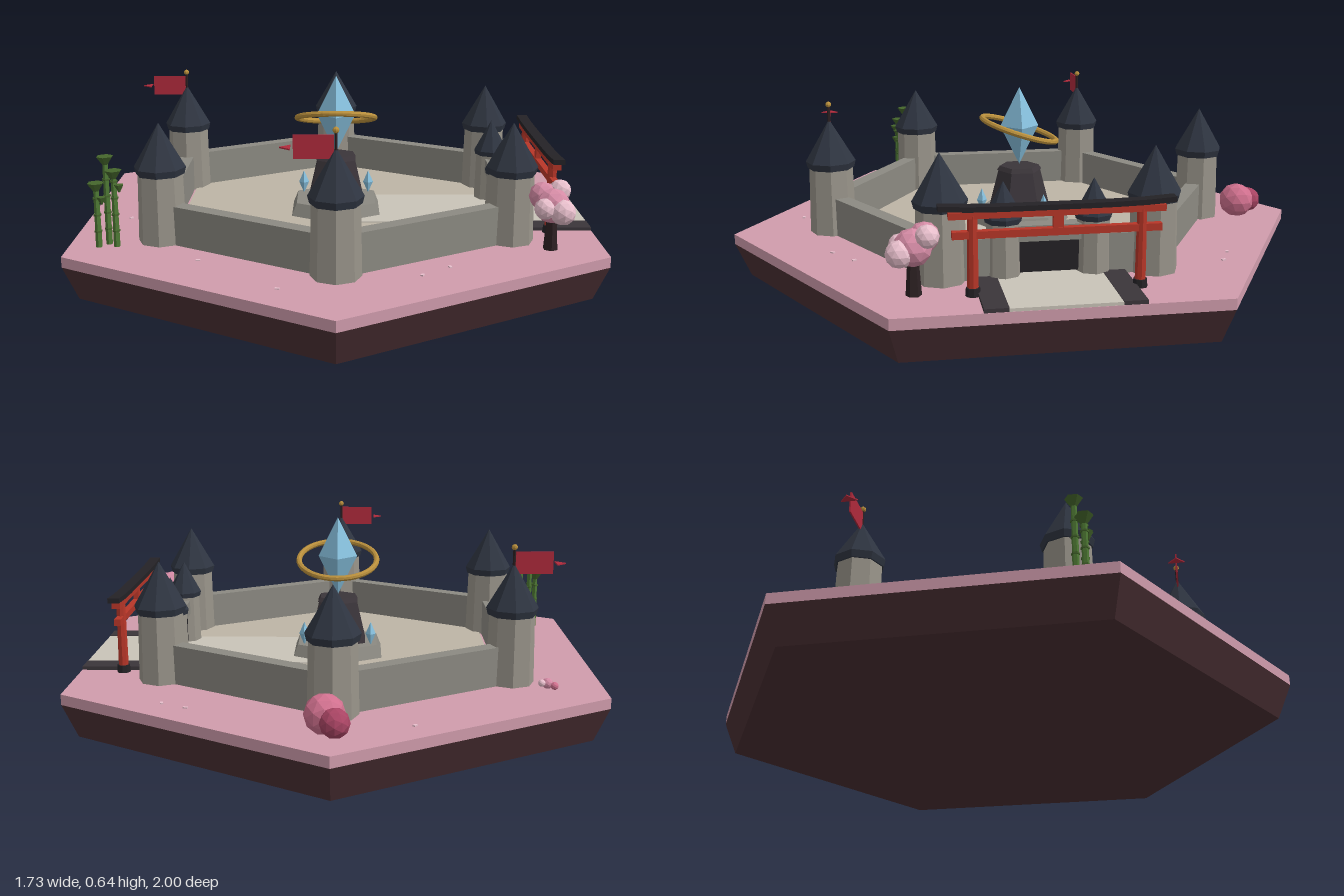
import * as THREE from 'three';

const mat = (color) => new THREE.MeshStandardMaterial({ color, flatShading: true, side: THREE.DoubleSide });
const M = {
  grass: mat(0xd09cac), earth: mat(0x4a2f33), court: mat(0xbdb4a5), path: mat(0xc9c3b8),
  tower: mat(0x99948a), wall: mat(0x8c8a82), roof: mat(0x2f3541), dark: mat(0x3b353a), black: mat(0x242226),
  crystal: mat(0x86bfdc), gold: mat(0xb98f3c), flag: mat(0xb02a3c), red: mat(0xb83628),
  bark: mat(0x2c2022), blossom: mat(0xd58ba5), pale: mat(0xe8bfcc), bush: mat(0xd0708e), bushDark: mat(0xa84463),
  stalk: mat(0x4f7a35), leaf: mat(0x45662c),
};
const GROUND = 0.15;

function add(parent, name, geometry, material, x = 0, y = 0, z = 0) {
  const mesh = new THREE.Mesh(geometry, material);
  mesh.name = name;
  mesh.position.set(x, y, z);
  parent.add(mesh);
  return mesh;
}
function group(parent, name, x = 0, y = 0, z = 0) {
  const g = new THREE.Group();
  g.name = name;
  g.position.set(x, y, z);
  parent.add(g);
  return g;
}
const box = (w, h, d) => new THREE.BoxGeometry(w, h, d);
// Frustum standing on y0
const frustum = (rTop, rBottom, y0, y1, sides) =>
  new THREE.CylinderGeometry(rTop, rBottom, y1 - y0, sides).translate(0, (y0 + y1) / 2, 0);
const ball = (r) => new THREE.IcosahedronGeometry(r, 1);

function tower(parent, name, x, z, r, bodyTop, eave, tip) {
  const t = group(parent, name, x, 0, z);
  add(t, 'towerBody', frustum(r * 0.87, r * 0.93, GROUND, bodyTop, 8), M.tower);
  add(t, 'towerCollar', frustum(r, r * 0.93, bodyTop, eave, 8), M.roof);
  add(t, 'towerRoof', frustum(0, r, eave, tip, 8), M.roof);
  return t;
}

function wall(parent, name, a, b) {
  const length = Math.hypot(b[0] - a[0], b[1] - a[1]);
  const w = add(parent, name, box(length, 0.13, 0.05), M.wall, (a[0] + b[0]) / 2, GROUND + 0.065, (a[1] + b[1]) / 2);
  w.rotation.y = -Math.atan2(b[1] - a[1], b[0] - a[0]);
}

function banner(t) {
  add(t, 'flagPole', frustum(0.005, 0.005, 0.53, 0.595, 6), M.bark);
  add(t, 'poleKnob', new THREE.SphereGeometry(0.01, 8, 6), M.gold, 0, 0.597, 0);
  add(t, 'flagCloth', box(0.12, 0.072, 0.005), M.flag, -0.065, 0.547, 0);
  // Small flat pennant tip
  const tip = new THREE.Shape([[-0.165, 0], [-0.133, -0.028], [-0.133, 0.028]].map((p) => new THREE.Vector2(...p)));
  const pennant = add(t, 'flagTip', new THREE.ExtrudeGeometry(tip, { depth: 0.004, bevelEnabled: false }), M.flag, 0, 0.547, 0);
  pennant.rotation.x = Math.PI / 2;
}

function blobs(parent, list) {
  for (const [name, material, r, x, y, z] of list) add(parent, name, ball(r), material, x, y, z);
}

export function createModel() {
  const model = new THREE.Group();
  model.name = 'hexagonalFortress';

  // Hexagonal island with courtyard
  add(model, 'islandBase', frustum(1, 0.95, 0, 0.115, 6), M.earth);
  add(model, 'islandTop', frustum(1, 1, 0.115, GROUND, 6), M.grass);
  add(model, 'courtyard', frustum(0.622, 0.622, GROUND, 0.156, 6), M.court);

  // Path through the gate, with dark kerbs outside
  add(model, 'innerPath', box(0.55, 0.006, 0.33), M.path, 0.32, 0.157, 0);
  add(model, 'outerPath', box(0.27, 0.01, 0.33), M.path, 0.73, 0.155, 0);
  for (const s of [-1, 1]) add(model, 'pathKerb', box(0.268, 0.012, 0.072), M.dark, 0.731, 0.156, s * 0.2);

  // Six corner towers joined by walls
  const corners = [];
  for (let i = 0; i < 6; i++) {
    const a = (i * Math.PI) / 3;
    corners.push([0.66 * Math.sin(a), 0.66 * Math.cos(a)]);
  }
  corners.forEach(([x, z], i) => {
    const t = tower(model, 'cornerTower', x, z, 0.085, 0.377, 0.4, 0.546);
    if (i === 0 || i === 4) banner(t);
    if (i !== 1) wall(model, 'curtainWall', [x, z], corners[(i + 1) % 6]);
  });

  // Gatehouse on the +x side
  const gx = corners[1][0];
  for (const s of [-1, 1]) {
    wall(model, 'gateWall', [gx, s * 0.33], [gx, s * 0.14]);
    tower(model, 'gateTower', gx, s * 0.14, 0.06, 0.325, 0.342, 0.452);
  }
  add(model, 'gateLintel', box(0.05, 0.05, 0.24), M.wall, gx, 0.29, 0);
  add(model, 'gateDoor', box(0.03, 0.105, 0.21), M.black, gx, 0.2175, 0);

  // Shrine: stepped plinth, floating crystal and tilted ring
  const shrine = group(model, 'shrine');
  add(shrine, 'plinth', frustum(0.16, 0.18, 0.155, 0.2, 6), M.wall);
  add(shrine, 'pedestal', frustum(0.075, 0.112, 0.2, 0.345, 6), M.dark);
  add(shrine, 'pedestalCap', frustum(0.07, 0.08, 0.345, 0.36, 6), M.dark);
  add(shrine, 'floatingCrystal', new THREE.OctahedronGeometry(1).scale(0.068, 0.138, 0.068), M.crystal, 0, 0.503, 0);
  const ring = add(shrine, 'tiltedRing', new THREE.TorusGeometry(0.137, 0.01, 8, 40), M.gold, 0, 0.491, 0);
  ring.rotation.x = Math.PI / 2 - 0.31;
  for (let i = 0; i < 3; i++) {
    const a = (i * 2 * Math.PI) / 3;
    add(shrine, 'smallCrystal', new THREE.OctahedronGeometry(1).scale(0.018, 0.042, 0.018), M.crystal,
      0.135 * Math.sin(a), 0.238, 0.135 * Math.cos(a));
  }

  // Red post-and-beam archway over the path
  const arch = group(model, 'archway', 0.72, 0, 0);
  for (const s of [-1, 1]) {
    add(arch, 'archPost', frustum(0.015, 0.017, GROUND, 0.392, 8), M.red, 0, 0, s * 0.25);
    add(arch, 'postFoot', frustum(0.021, 0.023, GROUND, 0.175, 8), M.black, 0, 0, s * 0.25);
  }
  add(arch, 'lowerBeam', box(0.022, 0.022, 0.62), M.red, 0, 0.335, 0);
  add(arch, 'middleStrut', box(0.018, 0.05, 0.03), M.red, 0, 0.368, 0);
  add(arch, 'upperBeam', box(0.028, 0.02, 0.64), M.red, 0, 0.394, 0);
  // Top beam with gently raised ends
  const cap = box(0.038, 0.016, 0.7).toNonIndexed();
  cap.dispose();
  const capGeometry = new THREE.BoxGeometry(0.038, 0.016, 0.7, 1, 1, 8);
  const p = capGeometry.attributes.position;
  for (let i = 0; i < p.count; i++) p.setY(i, p.getY(i) + 0.008 * (p.getZ(i) / 0.35) ** 4);
  add(arch, 'topBeam', capGeometry, M.black, 0, 0.411, 0);

  // Blossom tree beside the archway
  const tree = group(model, 'blossomTree', 0.69, 0, 0.42);
  add(tree, 'trunk', frustum(0.015, 0.024, GROUND, 0.28, 6), M.bark);
  blobs(tree, [
    ['blossom', M.blossom, 0.058, 0, 0.295, 0],
    ['blossom', M.blossom, 0.046, -0.025, 0.318, -0.035],
    ['blossom', M.pale, 0.036, 0.03, 0.335, -0.04],
    ['blossom', M.pale, 0.042, 0.025, 0.285, 0.04],
    ['blossom', M.pale, 0.035, -0.03, 0.295, 0.035],
  ]);

  // Round bush behind the rear tower, and a small flower clump
  blobs(group(model, 'bush'), [
    ['bushLobe', M.bush, 0.062, 0.02, 0.202, -0.81],
    ['bushLobe', M.bushDark, 0.045, -0.01, 0.195, -0.865],
  ]);
  blobs(group(model, 'flowerClump', -0.68, 0, -0.42), [
    ['flower', M.blossom, 0.018, 0, 0.172, 0],
    ['flower', M.bush, 0.013, -0.02, 0.168, -0.014],
    ['flower', M.pale, 0.012, 0.02, 0.176, -0.01],
    ['flower', M.bush, 0.012, 0.004, 0.168, 0.022],
  ]);

  // Bamboo: jointed stalks with flared leaf tufts
  const bamboo = group(model, 'bamboo');
  for (const [x, z, top] of [[-0.767, 0.4, 0.365], [-0.74, 0.37, 0.445], [-0.71, 0.395, 0.405]]) {
    add(bamboo, 'stalk', frustum(0.009, 0.011, GROUND, top - 0.01, 6), M.stalk, x, 0, z);
    for (let y = 0.2; y < top - 0.04; y += 0.055) add(bamboo, 'joint', frustum(0.013, 0.013, y, y + 0.006, 6), M.leaf, x, 0, z);
    add(bamboo, 'leafTuft', frustum(0.028, 0.004, top - 0.035, top, 6), M.leaf, x, 0, z);
    add(bamboo, 'sideLeaf', frustum(0.016, 0.003, top - 0.07, top - 0.045, 5), M.leaf, x + 0.018, 0, z + 0.008);
  }

  // Fallen petals
  const petals = [[-0.43, 0.53], [0.26, 0.66], [0.35, 0.59], [-0.17, 0.77], [-0.24, -0.76], [0.53, -0.58], [0.45, -0.62], [-0.72, 0.1]];
  petals.forEach(([x, z], i) => {
    add(model, 'petal', box(0.014, 0.004, 0.009), M.pale, x, GROUND + 0.002, z).rotation.y = i;
  });
  return model;
}
